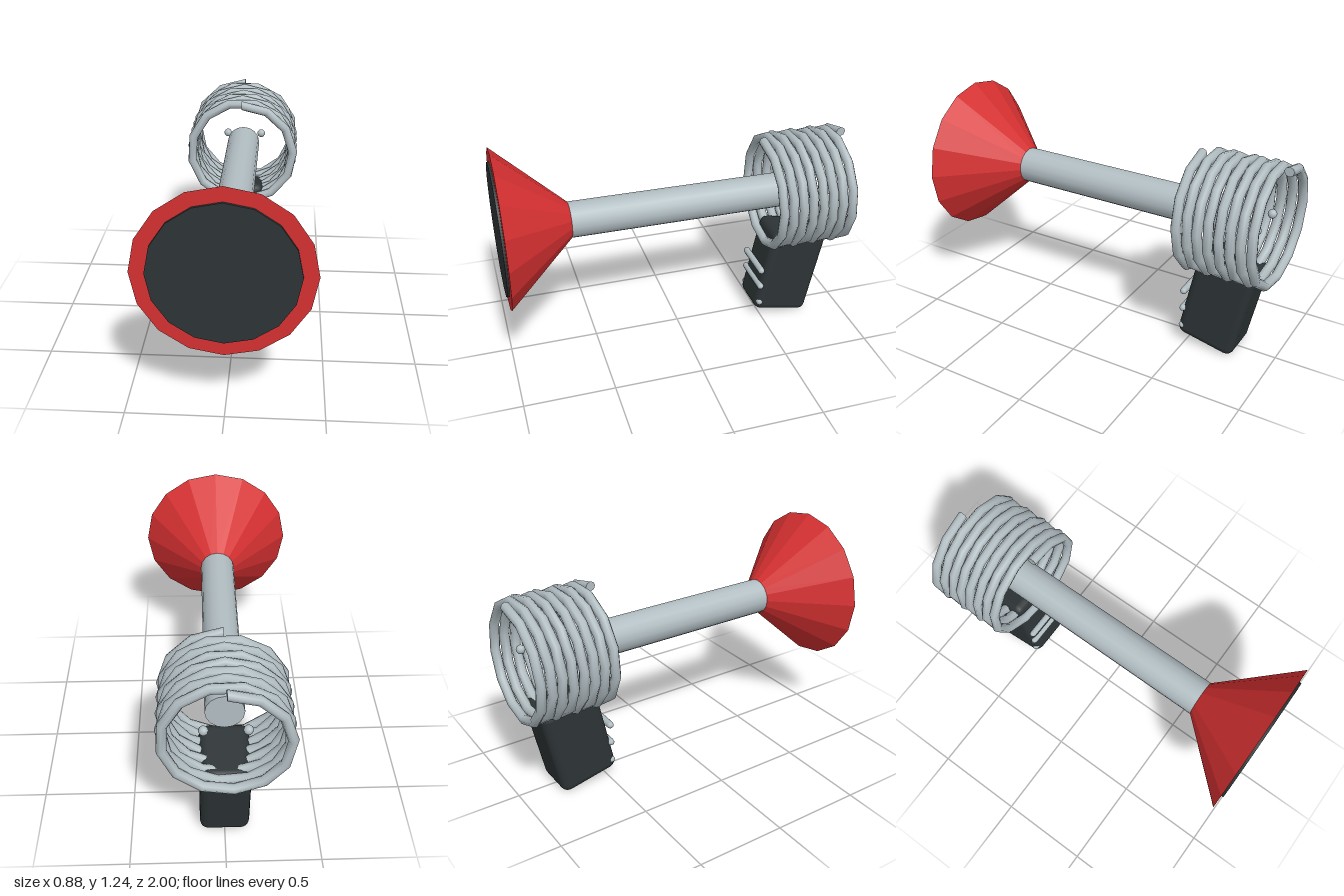
import * as THREE from 'three';
import { RoundedBoxGeometry } from 'three/addons/geometries/RoundedBoxGeometry.js';

const AXIS_Y = 0.8;

export function createModel() {
  const model = new THREE.Group();
  model.name = 'coilBlaster';

  const red = new THREE.MeshStandardMaterial({ color: 0xd63031, flatShading: true });
  red.name = 'red';
  const steel = new THREE.MeshStandardMaterial({ color: 0xb2bec3 });
  steel.name = 'steel';
  const dark = new THREE.MeshStandardMaterial({ color: 0x2d3436 });
  dark.name = 'dark';

  const add = (name, geometry, material, x, y, z) => {
    const mesh = new THREE.Mesh(geometry, material);
    mesh.name = name;
    mesh.position.set(x, y, z);
    model.add(mesh);
    return mesh;
  };

  // Cylinder or cone lying along z, from z0 (back) to z1 (front)
  const along = (name, rBack, rFront, z0, z1, material) =>
    add(name, new THREE.CylinderGeometry(rFront, rBack, z1 - z0, 16).rotateX(Math.PI / 2),
      material, 0, AXIS_Y, (z0 + z1) / 2);

  // Flared muzzle, its dark front plate and the barrel
  along('muzzleCone', 0.1, 0.44, 0.61, 0.987, red);
  along('muzzlePlate', 0.365, 0.365, 0.985, 1.0, dark);
  along('barrel', 0.1, 0.1, -0.73, 0.615, steel);

  // Coil: eight turns starting and ending at the top
  class Helix extends THREE.Curve {
    getPoint(t, target = new THREE.Vector3()) {
      const a = t * 8 * Math.PI * 2;
      return target.set(-0.315 * Math.sin(a), 0.315 * Math.cos(a), -0.973 + 0.471 * t);
    }
  }
  const helix = new Helix();
  helix.arcLengthDivisions = 800;
  add('coil', new THREE.TubeGeometry(helix, 100, 0.027, 8), steel, 0, AXIS_Y, 0);

  // Round caps on the two coil ends
  for (const [t, side] of [[0, -1], [1, 1]]) {
    const p = helix.getPoint(t);
    const cap = add('coilEnd', new THREE.CircleGeometry(0.027, 8), steel, p.x, p.y + AXIS_Y, p.z);
    cap.quaternion.setFromUnitVectors(new THREE.Vector3(0, 0, 1),
      helix.getTangent(t).multiplyScalar(side));
  }

  // Raked grip
  const grip = add('grip', new RoundedBoxGeometry(0.266, 0.53, 0.34, 2, 0.045), dark, 0, 0.286, -0.67);
  grip.rotation.x = -0.21;

  // Finger bars across the front of the grip
  for (const y of [0.113, 0.225, 0.335]) {
    add('fingerBar', new THREE.CapsuleGeometry(0.02, 0.236, 4, 8).rotateZ(Math.PI / 2),
      steel, 0, y, -0.484);
  }

  // Pair of small beads inside the coil
  for (const side of [-1, 1]) {
    add('bead', new THREE.SphereGeometry(0.025, 10, 8), steel, side * 0.108, AXIS_Y + 0.01, -0.87);
  }

  return model;
}
